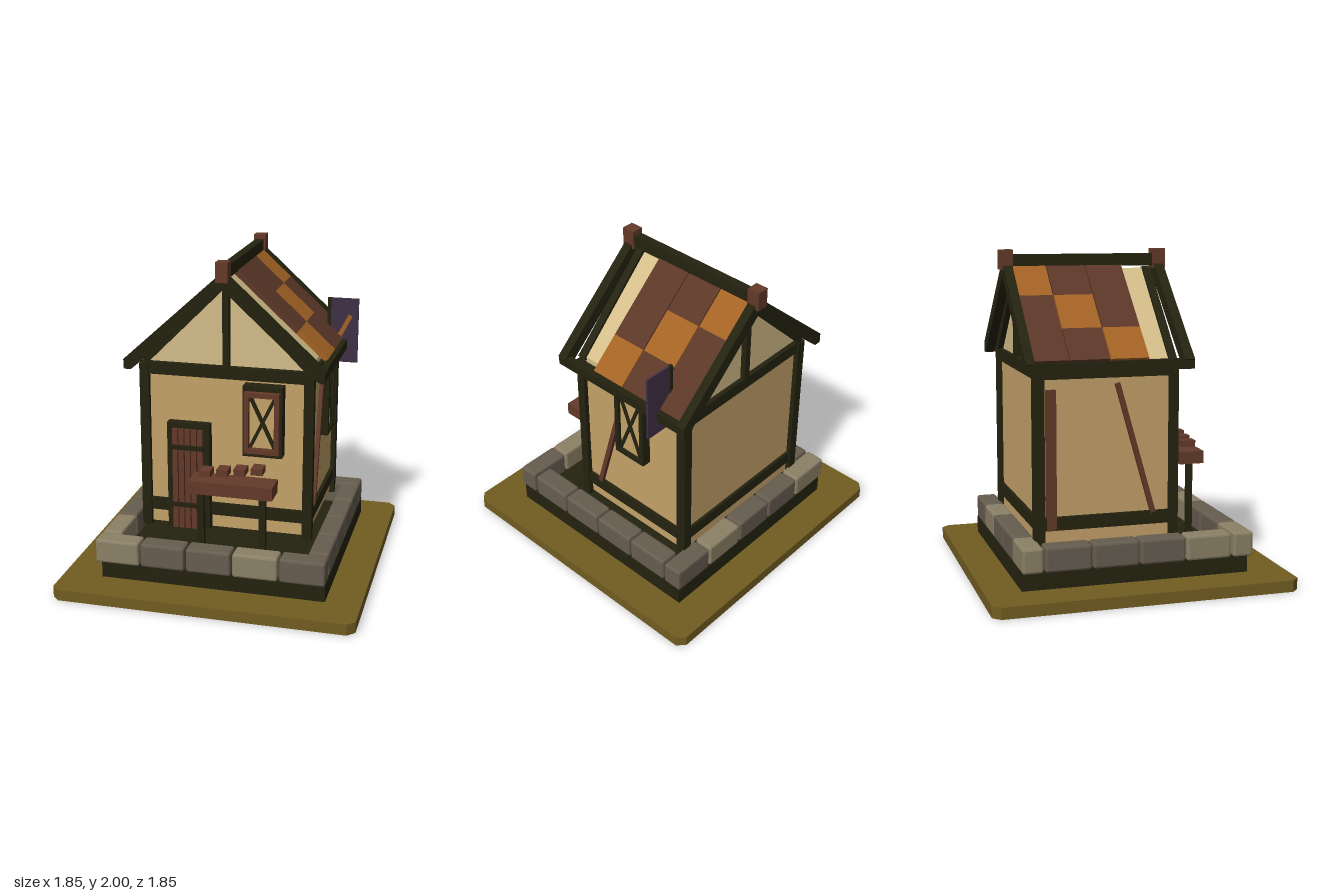
import * as THREE from 'three';
import { RoundedBoxGeometry } from 'three/addons/geometries/RoundedBoxGeometry.js';

const mat = (name, color) => {
  const m = new THREE.MeshStandardMaterial({ color, flatShading: true });
  m.name = name;
  return m;
};

export function createModel() {
  const earth = mat('earth', 0x725d22), timber = mat('darkTimber', 0x242310);
  const stoneLight = mat('lightStone', 0x8c8167), stoneDark = mat('darkStone', 0x675d50);
  const plaster = mat('plaster', 0xc4a269), cream = mat('cream', 0xd4bd8a);
  const wood = mat('redWood', 0x643a29), tileBrown = mat('brownTile', 0x5c3728);
  const tileOrange = mat('orangeTile', 0xa46324), purple = mat('purple', 0x403046);

  const model = new THREE.Group();
  model.name = 'cottage';

  const add = (name, geo, material, parent = model) => {
    const mesh = new THREE.Mesh(geo, material);
    mesh.name = name;
    parent.add(mesh);
    return mesh;
  };
  const group = (name) => {
    const g = new THREE.Group();
    g.name = name;
    model.add(g);
    return g;
  };
  // box from its bounds
  const box = (name, material, x0, x1, y0, y1, z0, z1, parent) => {
    const m = add(name, new THREE.BoxGeometry(x1 - x0, y1 - y0, z1 - z0), material, parent);
    m.position.set((x0 + x1) / 2, (y0 + y1) / 2, (z0 + z1) / 2);
    return m;
  };
  // bar between two points of the xy plane, with thickness t and a z range
  const bar = (name, material, [ax, ay], [bx, by], t, z0, z1, parent) => {
    const m = add(name, new THREE.BoxGeometry(Math.hypot(bx - ax, by - ay), t, z1 - z0), material, parent);
    m.position.set((ax + bx) / 2, (ay + by) / 2, (z0 + z1) / 2);
    m.rotation.z = Math.atan2(by - ay, bx - ax);
    return m;
  };
  // flat outline extruded along z
  const prism = (name, material, pts, z0, z1) => {
    const shape = new THREE.Shape(pts.map(([x, y]) => new THREE.Vector2(x, y)));
    const m = add(name, new THREE.ExtrudeGeometry(shape, { depth: z1 - z0, bevelEnabled: false }), material);
    m.position.z = z0;
    return m;
  };

  // ground slab with cut corners
  const e = 0.925, c = 0.88;
  const ground = prism('groundSlab', earth,
    [[-c, -e], [c, -e], [e, -c], [e, c], [c, e], [-c, e], [-e, c], [-e, -c]], 0, 0.07);
  ground.rotation.x = -Math.PI / 2;

  // foundation and ring of stones
  box('foundation', timber, -0.68, 0.71, 0.07, 0.18, -0.71, 0.685);
  const stones = group('stoneRing');
  const stone = (material, w, d, x, z) => {
    add('stone', new RoundedBoxGeometry(w, 0.15, d, 1, 0.014), material, stones).position.set(x, 0.25, z);
  };
  for (let i = 0; i < 5; i++) {
    const material = i % 3 === 0 ? stoneLight : stoneDark;
    for (const s of [-1, 1]) stone(material, 0.275, 0.125, -0.573 + i * 0.2865, s * 0.6475);
  }
  for (let i = 0; i < 4; i++) {
    const z = -0.435 + i * 0.288;
    stone(stoneDark, 0.125, 0.278, 0.6475, z);
    stone(i === 3 ? stoneLight : stoneDark, 0.125, 0.278, -0.6475, z);
  }

  // walls and timber frame
  box('walls', plaster, -0.515, 0.515, 0.29, 1.335, -0.57, 0.255);
  const frame = group('timberFrame');
  for (const x of [-0.515, 0.515]) {
    for (const [z0, z1] of [[-0.6, -0.535], [0.23, 0.285]])
      box('cornerPost', timber, x - 0.03, x + 0.03, 0.27, 1.34, z0, z1, frame);
    for (const [y0, y1] of [[0.375, 0.455], [1.27, 1.335]])
      box('sideBeam', timber, x - 0.022, x + 0.022, y0, y1, -0.55, 0.24, frame);
  }
  for (const z of [-0.565, 0.25])
    for (const [y0, y1] of [[0.375, 0.455], [1.27, 1.345]])
      box('crossBeam', timber, -0.5, 0.5, y0, y1, z - 0.024, z + 0.024, frame);

  // leaning braces on both sides, and a plank on the right side
  for (const x of [-0.525, 0.525]) {
    const brace = box('sideBrace', wood, x - 0.015, x + 0.015, 0.43, 1.25, -0.015, 0.015, frame);
    brace.position.z = 0.02;
    brace.rotation.x = -0.275;
  }
  box('sidePlank', wood, -0.544, -0.51, 0.38, 1.21, -0.525, -0.465, frame);

  // attic and gables
  prism('attic', cream, [[-0.515, 1.335], [0.515, 1.335], [0.515, 1.37], [0, 1.88], [-0.515, 1.37]], -0.56, 0.235);
  for (const [z0, z1] of [[-0.595, -0.55], [0.225, 0.275]]) {
    box('gablePost', timber, -0.02, 0.02, 1.34, 1.82, z0, z1);
    for (const s of [-1, 1])
      bar('innerRafter', timber, [0, 1.87], [s * 0.52, 1.35], 0.05, z0, z1);
  }

  // outer rafters, eaves and ridge
  for (const s of [-1, 1]) {
    for (const [z0, z1] of [[-0.66, -0.605], [0.295, 0.355]])
      bar('outerRafter', timber, [0, 1.89], [s * 0.6, 1.345], 0.075, z0, z1);
    box('eaveBeam', timber, s * 0.5975 - 0.0225, s * 0.5975 + 0.0225, 1.315, 1.375, -0.66, 0.355);
  }
  box('ridgeBeam', timber, -0.027, 0.027, 1.895, 1.97, -0.62, 0.32);
  box('ridgeEndFront', wood, -0.038, 0.038, 1.88, 2, 0.285, 0.368);
  box('ridgeEndBack', wood, -0.038, 0.038, 1.88, 2, -0.68, -0.6);

  // roof tiles: three columns, each with one orange patch per slope
  const roof = group('roofTiles');
  const roofY = (x) => 1.905 - 0.908 * x;
  const cuts = [0, 0.2, 0.4, 0.583];
  [[-0.147, 0.083], [-0.392, -0.153], [-0.612, -0.398]].forEach(([z0, z1], col) => {
    for (const s of [-1, 1])
      for (let row = 0; row < 3; row++) {
        const a = cuts[row], b = cuts[row + 1];
        bar('tilePatch', row === 2 - col ? tileOrange : tileBrown,
          [s * a, roofY(a)], [s * b, roofY(b)], 0.03, z0, z1, roof);
      }
  });

  // rectangular border in the xy plane
  const border = (name, material, x0, x1, y0, y1, t, z0, z1, parent) => {
    box(name, material, x0, x0 + t, y0, y1, z0, z1, parent);
    box(name, material, x1 - t, x1, y0, y1, z0, z1, parent);
    box(name, material, x0 + t, x1 - t, y0, y0 + t, z0, z1, parent);
    box(name, material, x0 + t, x1 - t, y1 - t, y1, z0, z1, parent);
  };
  const cross = (x0, x1, y0, y1, z0, z1, parent) => {
    bar('crossBar', timber, [x0, y0], [x1, y1], 0.02, z0, z1, parent);
    bar('crossBar', timber, [x0, y1], [x1, y0], 0.02, z0 + 0.002, z1 + 0.002, parent);
  };

  // front window
  const win = group('frontWindow');
  border('outerFrame', timber, 0.12, 0.365, 0.81, 1.255, 0.04, 0.25, 0.335, win);
  border('innerFrame', wood, 0.135, 0.352, 0.84, 1.225, 0.03, 0.335, 0.372, win);
  box('pane', plaster, 0.15, 0.34, 0.84, 1.22, 0.25, 0.32, win);
  cross(0.165, 0.322, 0.865, 1.195, 0.32, 0.338, win);

  // side window, built facing front and turned to face +x
  const side = group('sideWindow');
  border('outerFrame', timber, 0.06, 0.29, 0.845, 1.32, 0.03, 0.5, 0.575, side);
  box('pane', plaster, 0.08, 0.27, 0.86, 1.31, 0.5, 0.555, side);
  cross(0.09, 0.26, 0.875, 1.3, 0.55, 0.565, side);
  side.rotation.y = Math.PI / 2;

  // door
  const door = group('door');
  box('doorBack', timber, -0.365, -0.095, 0.29, 0.98, 0.25, 0.3, door);
  box('doorFrameLeft', timber, -0.365, -0.333, 0.29, 0.98, 0.3, 0.312, door);
  box('doorFrameRight', timber, -0.127, -0.095, 0.29, 0.98, 0.3, 0.312, door);
  box('doorFrameTop', timber, -0.365, -0.095, 0.945, 0.98, 0.3, 0.312, door);
  for (let i = 0; i < 5; i++)
    box('doorPlank', wood, -0.328 + i * 0.04, -0.295 + i * 0.04, 0.29, 0.945, 0.3, 0.33, door);
  for (const y of [0.45, 0.83])
    box('doorStrap', timber, -0.33, -0.13, y - 0.014, y + 0.014, 0.325, 0.345, door);
  const knob = add('doorKnob', new THREE.CylinderGeometry(0.024, 0.024, 0.015, 8), timber, door);
  knob.position.set(-0.165, 0.635, 0.355);
  knob.rotation.x = Math.PI / 2;

  // market table with a row of goods
  const table = group('table');
  box('tableTop', wood, -0.15, 0.365, 0.64, 0.72, 0.44, 0.6, table);
  for (const x of [-0.09, 0.292])
    box('tableLeg', timber, x - 0.02, x + 0.02, 0.18, 0.64, 0.504, 0.54, table);
  for (let i = 0; i < 4; i++) {
    const x = -0.055 + i * 0.106, y = 0.76 + i * 0.0135;
    box('goods', wood, x - 0.035, x + 0.035, y - 0.02, y + 0.02, 0.475, 0.565, table);
  }

  // hanging sign with an orange stroke
  const sign = group('sign');
  box('signPost', timber, 0.49, 0.512, 1.38, 1.645, -0.455, -0.435, sign);
  box('signBoard', purple, 0.508, 0.69, 1.225, 1.645, -0.45, -0.437, sign);
  bar('signStroke', tileOrange, [0.555, 1.37], [0.64, 1.535], 0.028, -0.437, -0.425, sign);

  return model;
}
